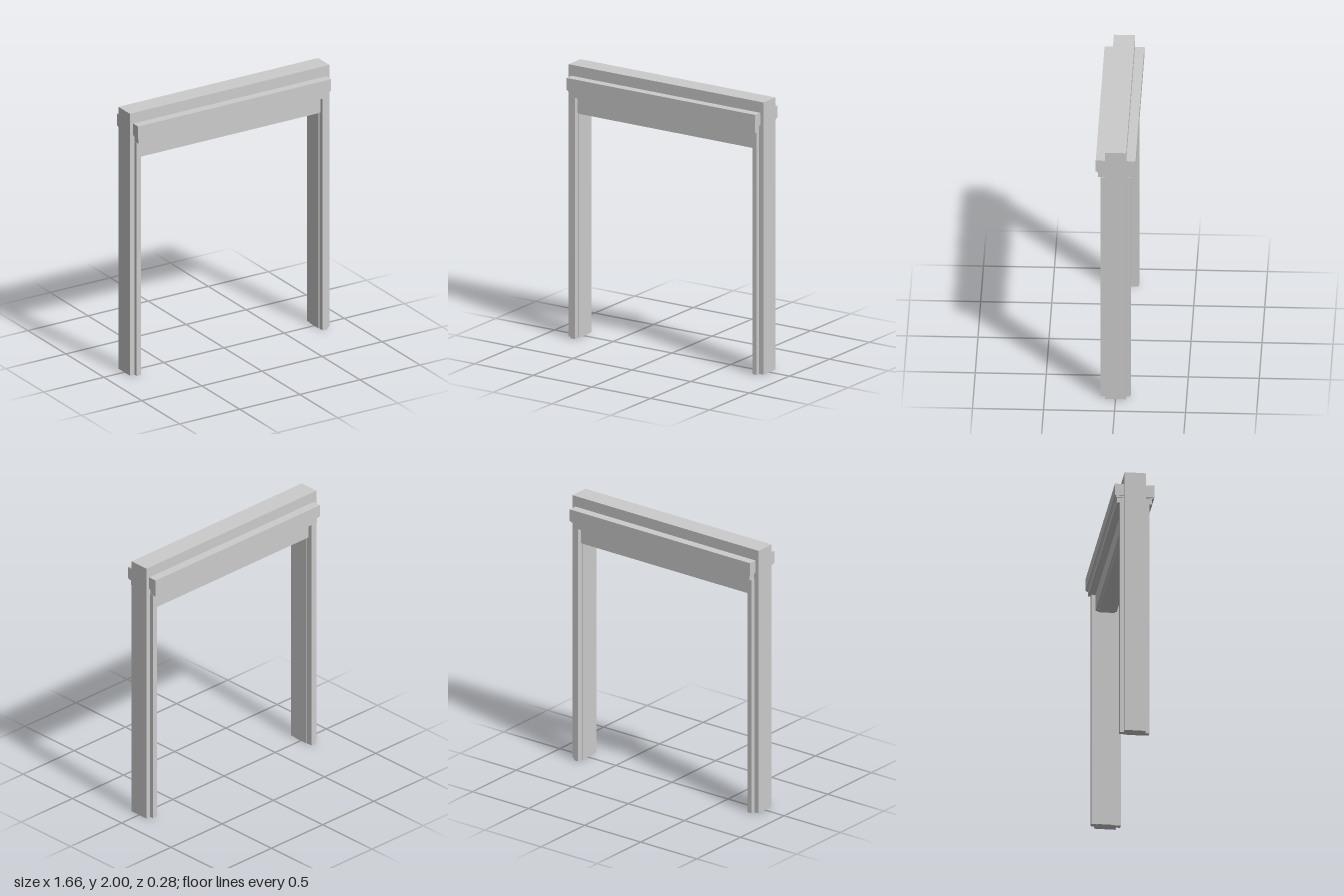
import * as THREE from 'three';

const material = new THREE.MeshStandardMaterial({ color: 0xcccccc, flatShading: true });

// Box given by its lower and upper corners
function block(name, [x0, y0, z0], [x1, y1, z1]) {
  const geometry = new THREE.BoxGeometry(x1 - x0, y1 - y0, z1 - z0);
  geometry.translate((x0 + x1) / 2, (y0 + y1) / 2, (z0 + z1) / 2);
  const mesh = new THREE.Mesh(geometry, material);
  mesh.name = name;
  return mesh;
}

// Upside-down U standing on the floor, centred in z
function portal(name, outerX, outerY, innerX, innerY, depth) {
  const shape = new THREE.Shape([
    [-outerX, 0], [-innerX, 0], [-innerX, innerY], [innerX, innerY],
    [innerX, 0], [outerX, 0], [outerX, outerY], [-outerX, outerY],
  ].map(([x, y]) => new THREE.Vector2(x, y)));
  const geometry = new THREE.ExtrudeGeometry(shape, { depth, bevelEnabled: false });
  geometry.translate(0, 0, -depth / 2);
  const mesh = new THREE.Mesh(geometry, material);
  mesh.name = name;
  return mesh;
}

// Casing for one face of the doorway
function casing(name) {
  const group = new THREE.Group();
  group.name = name;
  // Upright strips
  group.add(block('leftCasing', [0.755, 0, 0.074], [0.793, 1.78, 0.105]));
  group.add(block('rightCasing', [-0.793, 0, 0.074], [-0.755, 1.78, 0.105]));
  // Stepped head moulding
  group.add(block('headMoulding', [-0.79, 1.78, 0.074], [0.79, 1.82, 0.125]));
  group.add(block('headFillet', [-0.797, 1.82, 0.074], [0.797, 1.83, 0.132]));
  group.add(block('cornice', [-0.803, 1.83, 0.074], [0.803, 1.92, 0.14]));
  return group;
}

export function createModel() {
  const model = new THREE.Group();
  model.name = 'doorway';

  // Main frame and the thin lining inside its opening
  model.add(portal('frame', 0.83, 2, 0.755, 1.655, 0.15));
  model.add(portal('lining', 0.76, 1.66, 0.75, 1.645, 0.12));

  // Matching casings on the front and back
  model.add(casing('frontCasing'));
  const back = casing('backCasing');
  back.rotation.y = Math.PI;
  model.add(back);

  return model;
}
